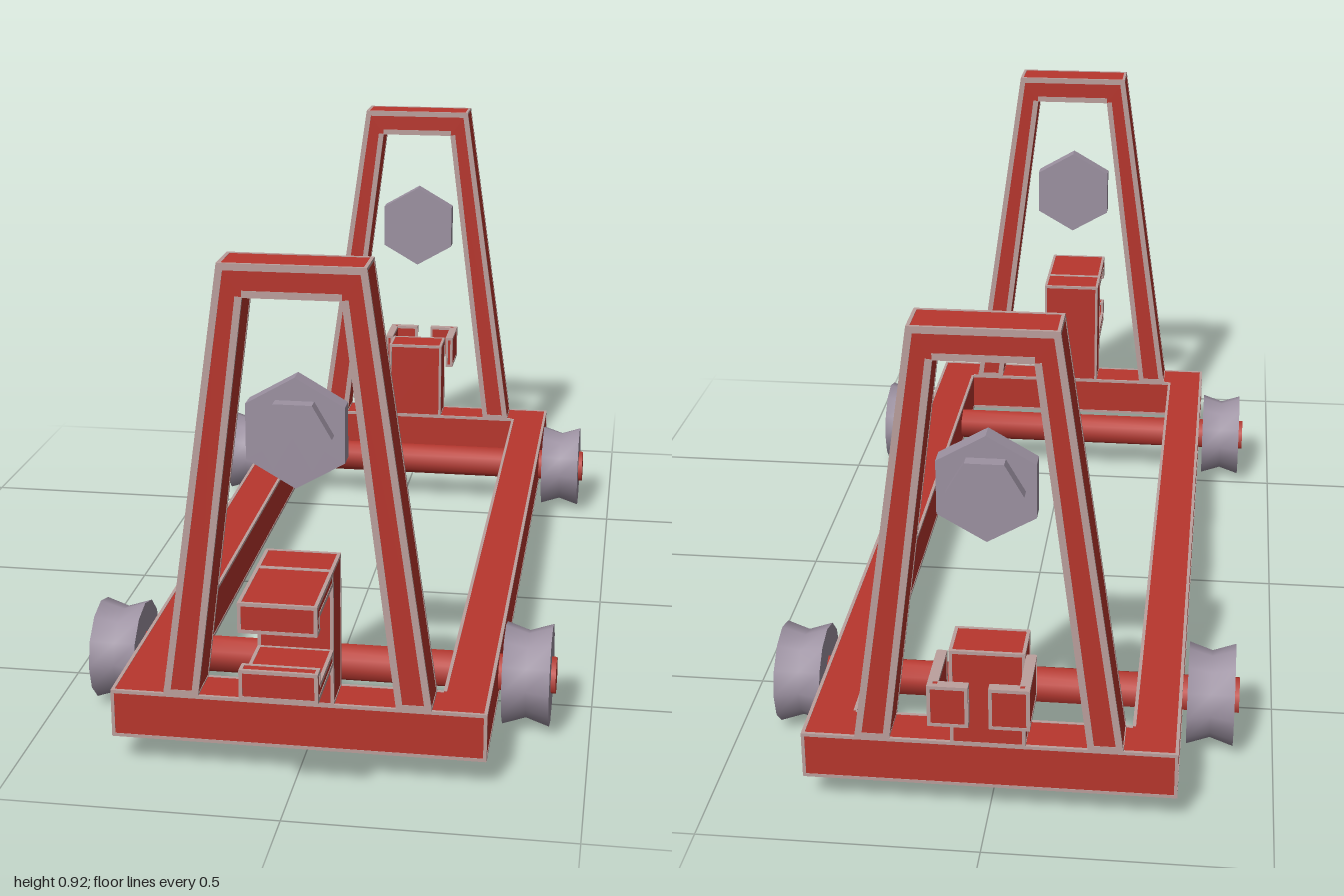
import * as THREE from 'three';
import { mergeGeometries, toCreasedNormals } from 'three/addons/utils/BufferGeometryUtils.js';

function paint(name, color) {
  const m = new THREE.MeshStandardMaterial({ color });
  m.name = name;
  return m;
}
const red = paint('red paint', 0xb8362d);
const steel = paint('grey steel', 0x9d92a2);
const bare = paint('worn edge', 0xbca09d);

const PROUD = 0.001; // how far worn edges stand out of the faces
const RIM = 0.006; // width of a worn edge on the sides

// Hexagonal prism along y; a large crease angle makes its sides smooth
function hexPrism(radius, length, turn, crease) {
  return toCreasedNormals(new THREE.CylinderGeometry(radius, radius, length, 6, 1, false, turn), crease);
}

// Thin bars lying in the edges of an extruded outline (counterclockwise; holes clockwise)
function edgeBars(points, thickness, width) {
  const inset = width / 2 - PROUD, rimInset = RIM / 2 - PROUD;
  const bars = [];
  points.forEach((a, i) => {
    const b = points[(i + 1) % points.length];
    const before = points[(i + points.length - 1) % points.length];
    const along = b.clone().sub(a);
    const length = along.length(), angle = along.angle();
    along.normalize();
    const inward = new THREE.Vector2(-along.y, along.x);
    const mid = a.clone().add(b).multiplyScalar(0.5).addScaledVector(inward, inset);
    for (const s of [-1, 1]) {
      bars.push(new THREE.BoxGeometry(length, width, RIM).rotateZ(angle)
        .translate(mid.x, mid.y, s * (thickness / 2 - rimInset)));
    }
    // Outer corners also carry a bar through the thickness
    if (a.clone().sub(before).cross(along) > 0) {
      const c = a.clone().addScaledVector(along, rimInset).addScaledVector(inward, rimInset);
      bars.push(new THREE.BoxGeometry(RIM, RIM, thickness).rotateZ(angle).translate(c.x, c.y, 0));
    }
  });
  return bars;
}

// Painted steel part extruded along z, with paint worn off its edges
function wornPart(name, coords, thickness, width = RIM, holeCoords = []) {
  const toPoints = (list) => list.map(([x, y]) => new THREE.Vector2(x, y));
  const points = toPoints(coords), hole = toPoints(holeCoords).reverse();
  if (THREE.ShapeUtils.isClockWise(points)) points.reverse();
  const shape = new THREE.Shape(points);
  if (hole.length) shape.holes.push(new THREE.Path(hole));
  const body = new THREE.Mesh(
    new THREE.ExtrudeGeometry(shape, { depth: thickness, bevelEnabled: false })
      .translate(0, 0, -thickness / 2), red);
  body.name = name + 'Body';
  const edges = new THREE.Mesh(mergeGeometries(
    [...edgeBars(points, thickness, width), ...edgeBars(hole, thickness, width)]), bare);
  edges.name = name + 'WornEdges';
  const group = new THREE.Group();
  group.name = name;
  group.add(body, edges);
  return group;
}

const rectangle = (w, h) => [[-w / 2, -h / 2], [w / 2, -h / 2], [w / 2, h / 2], [-w / 2, h / 2]];

// Two facing hooked arms: depth along x, opening at the far end
function coupling(name, depth, half, wall, gap, thickness, wear) {
  const group = new THREE.Group();
  group.name = name;
  for (const s of [-1, 1]) {
    group.add(wornPart('hookedArm', [
      [0, s * half], [0, s * (half - wall)], [depth - wall, s * (half - wall)],
      [depth - wall, s * gap], [depth, s * gap], [depth, s * half],
    ], thickness, wear));
  }
  return group;
}

export function createModel() {
  const model = new THREE.Group();
  model.name = 'railTrolley';

  function place(part, x, y, z) {
    part.position.set(x, y, z);
    model.add(part);
    return part;
  }
  function add(name, geometry, material, x, y, z) {
    place(new THREE.Mesh(geometry, material), x, y, z).name = name;
  }

  const front = 0.845, back = -0.885, beam = 0.082, length = front - back;

  // Base frame: one rectangular ring
  place(wornPart('baseFrame', rectangle(0.66, length), 0.087, RIM,
    rectangle(0.66 - 2 * beam, length - 2 * beam)), 0, 0.098, (front + back) / 2)
    .rotation.x = -Math.PI / 2;

  // Each end: tapered upright, hexagonal nut and coupling post
  for (const [end, dir, face] of [['front', 1, front], ['back', -1, back]]) {
    const z = face - dir * beam / 2;
    place(wornPart(end + 'Upright', [
      [-0.235, 0.14], [-0.175, 0.14], [-0.083, 0.86], [0.083, 0.86],
      [0.175, 0.14], [0.235, 0.14], [0.123, 0.915], [-0.123, 0.915],
    ], beam, 0.012), 0, 0, z);
    add(end + 'Nut', hexPrism(0.097, 0.035, 0, 0.5).rotateX(Math.PI / 2), steel,
      0, 0.625, face - dir * 0.035);
    add(end + 'BoltHead', hexPrism(0.066, 0.03, Math.PI / 6, 0.5).rotateX(Math.PI / 2), steel,
      0, 0.625, face - dir * 0.009);
    const top = dir > 0 ? 0.39 : 0.325;
    place(wornPart(end + 'Post', rectangle(0.13, top - 0.14), beam), 0, (top + 0.14) / 2, z);
  }

  // Couplings: the front one stands upright, the back one lies on its side
  place(coupling('frontCoupling', 0.155, 0.085, 0.025, 0.034, 0.13, 0.008), 0, 0.305, front)
    .rotation.y = -Math.PI / 2;
  place(coupling('backCoupling', 0.115, 0.085, 0.016, 0.018, 0.075, 0.009), 0, 0.2875, back)
    .rotation.set(-Math.PI / 2, 0, Math.PI / 2);

  // Axles and grooved wheels
  const profile = [[0, -0.043], [0.094, -0.043], [0.08, 0], [0.094, 0.043], [0, 0.043]]
    .map(([r, h]) => new THREE.Vector2(r, h));
  const wheel = toCreasedNormals(new THREE.LatheGeometry(profile, 12), 0.8).rotateZ(Math.PI / 2);
  const axle = hexPrism(0.037, 0.87, Math.PI / 6, 1.1).rotateZ(Math.PI / 2);
  for (const z of [0.57, -0.605]) {
    add('axle', axle, red, 0, 0.094, z);
    for (const s of [-1, 1]) add('wheel', wheel, steel, s * 0.383, 0.094, z);
  }

  return model;
}
